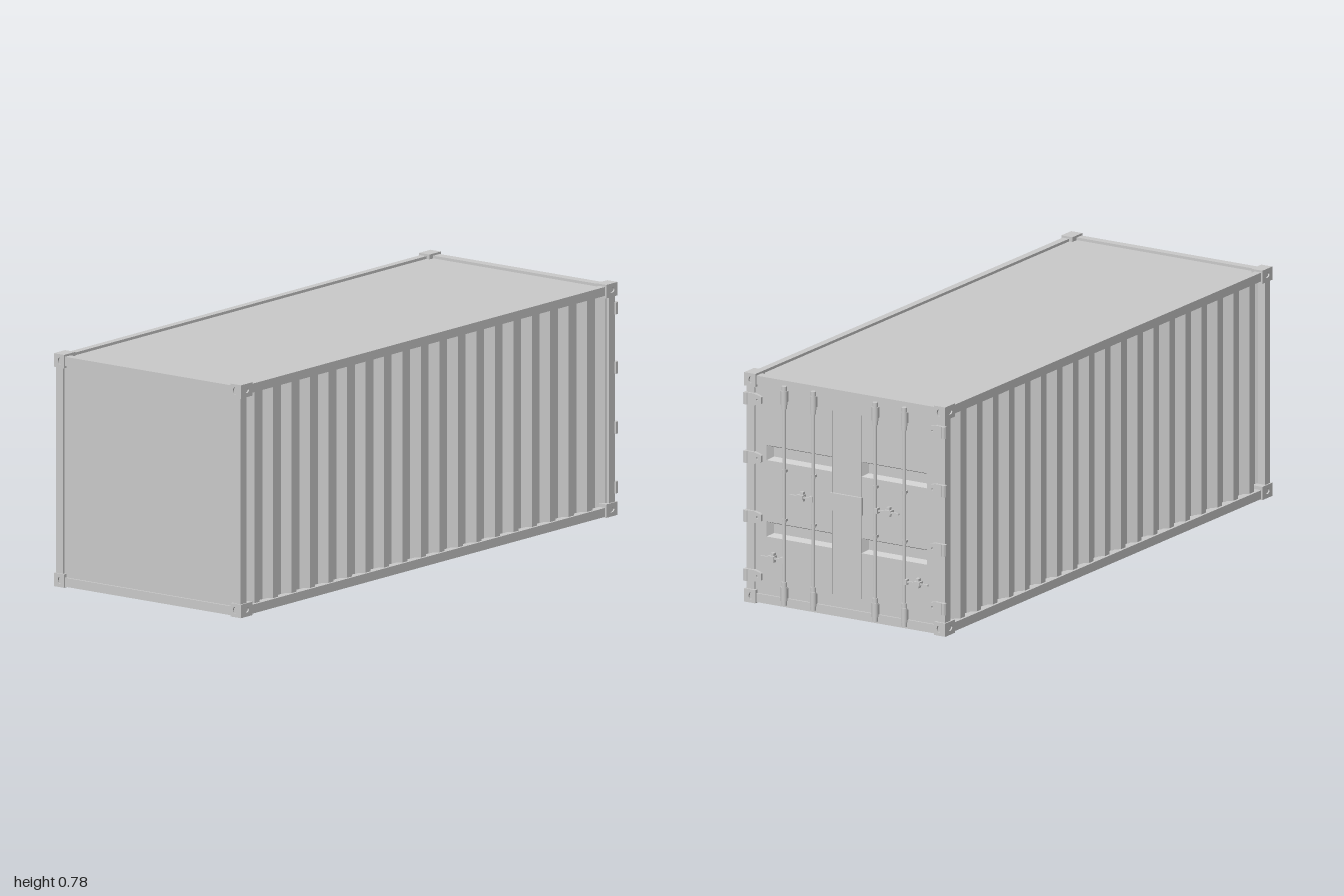
import * as THREE from 'three';

const mat = new THREE.MeshStandardMaterial({ color: 0xcccccc, side: THREE.DoubleSide });

export function createModel() {
  const model = new THREE.Group();
  model.name = 'shippingContainer';

  const add = (name, geo, x = 0, y = 0, z = 0) => {
    const m = new THREE.Mesh(geo, mat);
    m.name = name;
    m.position.set(x, y, z);
    model.add(m);
    return m;
  };
  // box given by its limits
  const box = (name, x0, x1, y0, y1, z0, z1) =>
    add(name, new THREE.BoxGeometry(x1 - x0, y1 - y0, Math.abs(z1 - z0)),
      (x0 + x1) / 2, (y0 + y1) / 2, (z0 + z1) / 2);
  const rectPath = (P, a0, a1, b0, b1) => new P([[a0, b0], [a1, b0], [a1, b1], [a0, b1]]
    .map(p => new THREE.Vector2(...p)));
  const roundRect = (P, a0, a1, b0, b1, r) => {
    const p = new P();
    p.absarc(a1 - r, b1 - r, r, 0, Math.PI / 2);
    p.absarc(a0 + r, b1 - r, r, Math.PI / 2, Math.PI);
    p.absarc(a0 + r, b0 + r, r, Math.PI, Math.PI * 1.5);
    p.absarc(a1 - r, b0 + r, r, Math.PI * 1.5, Math.PI * 2);
    return p;
  };
  const extrude = (shape, depth) =>
    new THREE.ExtrudeGeometry(shape, { depth, bevelEnabled: false, curveSegments: 6 });

  // top and bottom rail frames, roof and floor
  for (const [name, y] of [['bottomFrame', 0.003], ['topFrame', 0.743]]) {
    const ring = rectPath(THREE.Shape, -0.995, 0.978, -0.385, 0.385);
    ring.holes.push(roundRect(THREE.Path, -0.967, 0.945, -0.36, 0.36, 0.02));
    add(name, extrude(ring, 0.03).rotateX(-Math.PI / 2), 0, y, 0);
  }
  box('roof', -0.98, 0.96, 0.75, 0.764, -0.37, 0.37);
  box('floor', -0.98, 0.96, 0.014, 0.028, -0.37, 0.37);

  // corner posts and flat end wall
  for (const s of [-1, 1]) {
    box('endPost', -0.995, -0.965, 0.033, 0.743, s * 0.385, s * 0.355);
    box('doorPost', 0.945, 0.978, 0.033, 0.743, s * 0.385, s * 0.355);
  }
  box('endWall', -0.988, -0.975, 0.03, 0.746, -0.356, 0.356);

  // corrugated side walls
  const period = 0.0974, outer = 0.376, inner = 0.35;
  for (const s of [-1, 1]) {
    const pts = [[-0.985, 0.34], [-0.985, outer]];
    for (let k = 0; k < 20; k++) {
      const c = -0.995 + k * period;
      pts.push([c + 0.0135, outer], [c + 0.0365, inner], [c + 0.061, inner], [c + 0.084, outer]);
    }
    pts.push([0.965, outer], [0.965, 0.34]);
    const shape = new THREE.Shape(pts.map(([x, z]) => new THREE.Vector2(x, -s * z)));
    add('corrugatedWall', extrude(shape, 0.716).rotateX(-Math.PI / 2), 0, 0.03, 0);
  }

  // corner castings: core block with pierced plates on the outward faces
  const pierced = (w, h, hw, hh, t) => {
    const shape = rectPath(THREE.Shape, -w / 2, w / 2, -h / 2, h / 2);
    const hole = new THREE.Path();
    hole.absellipse(0, 0, hw, hh, 0, Math.PI * 2);
    shape.holes.push(hole);
    return extrude(shape, t);
  };
  for (const sx of [-1, 1]) for (const sz of [-1, 1]) for (const y of [0.0225, 0.7575]) {
    const cx = sx < 0 ? -0.97 : 0.955, t = 0.007;
    const casting = new THREE.Group();
    casting.name = 'cornerCasting';
    casting.position.set(cx, y, sz * 0.3685);
    const part = geo => {
      const m = new THREE.Mesh(geo, mat);
      m.name = 'castingFace';
      casting.add(m);
      return m;
    };
    part(new THREE.BoxGeometry(0.06 - t, 0.045, 0.043 - t)).position.set(-sx * t / 2, 0, -sz * t / 2);
    part(pierced(0.06, 0.045, 0.013, 0.009, t)).position.z = sz > 0 ? 0.0215 - t : -0.0215;
    part(pierced(0.043 - t, 0.045, 0.008, 0.012, t).rotateY(Math.PI / 2))
      .position.set(sx > 0 ? 0.03 - t : -0.03, 0, -sz * t / 2);
    model.add(casting);
  }

  // door slab with four recess openings
  const face = 0.972;
  const slab = rectPath(THREE.Shape, -0.356, 0.356, 0.032, 0.744);
  const recesses = [];
  for (const s of [-1, 1]) for (const y of [0.23, 0.49]) recesses.push([s * 0.184, y + 0.0255]);
  for (const [z, y] of recesses)
    slab.holes.push(rectPath(THREE.Path, -z - 0.127, -z + 0.127, y - 0.0255, y + 0.0255));
  add('doors', extrude(slab, 0.012).rotateY(Math.PI / 2), face - 0.012, 0, 0);

  // sloped recess trays
  const tray = () => {
    const ring = (x, w, h) => [[x, -h, w], [x, -h, -w], [x, h, -w], [x, h, w]];
    const a = ring(0, 0.127, 0.0255), b = ring(-0.022, 0.113, 0.0165);
    const v = [];
    const quad = (p, q, r, t) => v.push(...p, ...q, ...r, ...p, ...r, ...t);
    for (let i = 0; i < 4; i++) quad(a[i], a[(i + 1) % 4], b[(i + 1) % 4], b[i]);
    quad(...b);
    const g = new THREE.BufferGeometry();
    g.setAttribute('position', new THREE.Float32BufferAttribute(v, 3));
    g.computeVertexNormals();
    return g;
  };
  for (const [z, y] of recesses) add('doorRecess', tray(), face, y, z);

  // seams and centre plate
  box('centreSeam', face, face + 0.002, 0.42, 0.743, -0.001, 0.001);
  for (const s of [-1, 1]) box('doorSeam', face, face + 0.002, 0.075, 0.698, s * 0.054, s * 0.056);
  box('centrePlate', face, face + 0.008, 0.36, 0.42, -0.062, 0.062);

  // locking rods with sleeves, collars, handles and keepers
  const rodX = 0.988;
  const cyl = (name, r, y0, y1, z) =>
    add(name, new THREE.CylinderGeometry(r, r, y1 - y0, 16), rodX, (y0 + y1) / 2, z);
  for (const s of [-1, 1]) for (const [rz, hy] of [[0.12, 0.39], [0.233, 0.165]]) {
    const z = s * rz;
    cyl('lockRod', 0.006, 0.012, 0.757, z);
    for (const [r, y0, y1] of [[0.009, 0.012, 0.028], [0.0115, 0.028, 0.075], [0.0095, 0.075, 0.092],
      [0.0095, 0.68, 0.695], [0.0115, 0.695, 0.742], [0.009, 0.742, 0.757]]) cyl('rodSleeve', r, y0, y1, z);
    for (const y of [0.3, 0.468]) {
      cyl('rodCollar', 0.0075, y - 0.006, y + 0.006, z);
      box('rodBracket', face, rodX, y - 0.004, y + 0.004, z - 0.005, z + 0.005);
    }
    for (const y of [0.05, 0.72]) box('sleeveMount', face - 0.004, rodX, y - 0.018, y + 0.018, z - 0.007, z + 0.007);
    // handle reaches outwards from the rod
    const at = d => s * (rz + d);
    box('handleClamp', 0.98, 0.996, hy - 0.009, hy + 0.009, at(0), at(0.013));
    box('handle', 0.985, 0.991, hy - 0.003, hy + 0.003, at(0.01), at(0.092));
    box('handleKeeper', face, 0.993, hy - 0.007, hy + 0.007, at(0.038), at(0.062));
    box('keeperTab', face, 0.986, hy - 0.016, hy + 0.016, at(0.042), at(0.054));
  }

  // hinges: tapered blades wrapping the door posts
  for (const s of [-1, 1]) for (const y of [0.093, 0.293, 0.494, 0.693]) {
    const blade = new THREE.Shape([[0.391, -0.02], [0.391, 0.02], [0.352, 0.02], [0.332, 0.015],
      [0.325, 0.011], [0.325, -0.011], [0.332, -0.015], [0.352, -0.02]]
      .map(([z, v]) => new THREE.Vector2(-s * z, v)));
    const hole = new THREE.Path();
    hole.absarc(-s * 0.34, 0, 0.004, 0, Math.PI * 2);
    blade.holes.push(hole);
    add('hingeBlade', extrude(blade, 0.012).rotateY(Math.PI / 2), 0.974, y, 0);
    add('hingePin', new THREE.CylinderGeometry(0.008, 0.008, 0.04, 12), 0.984, y, s * 0.383);
  }
  return model;
}
